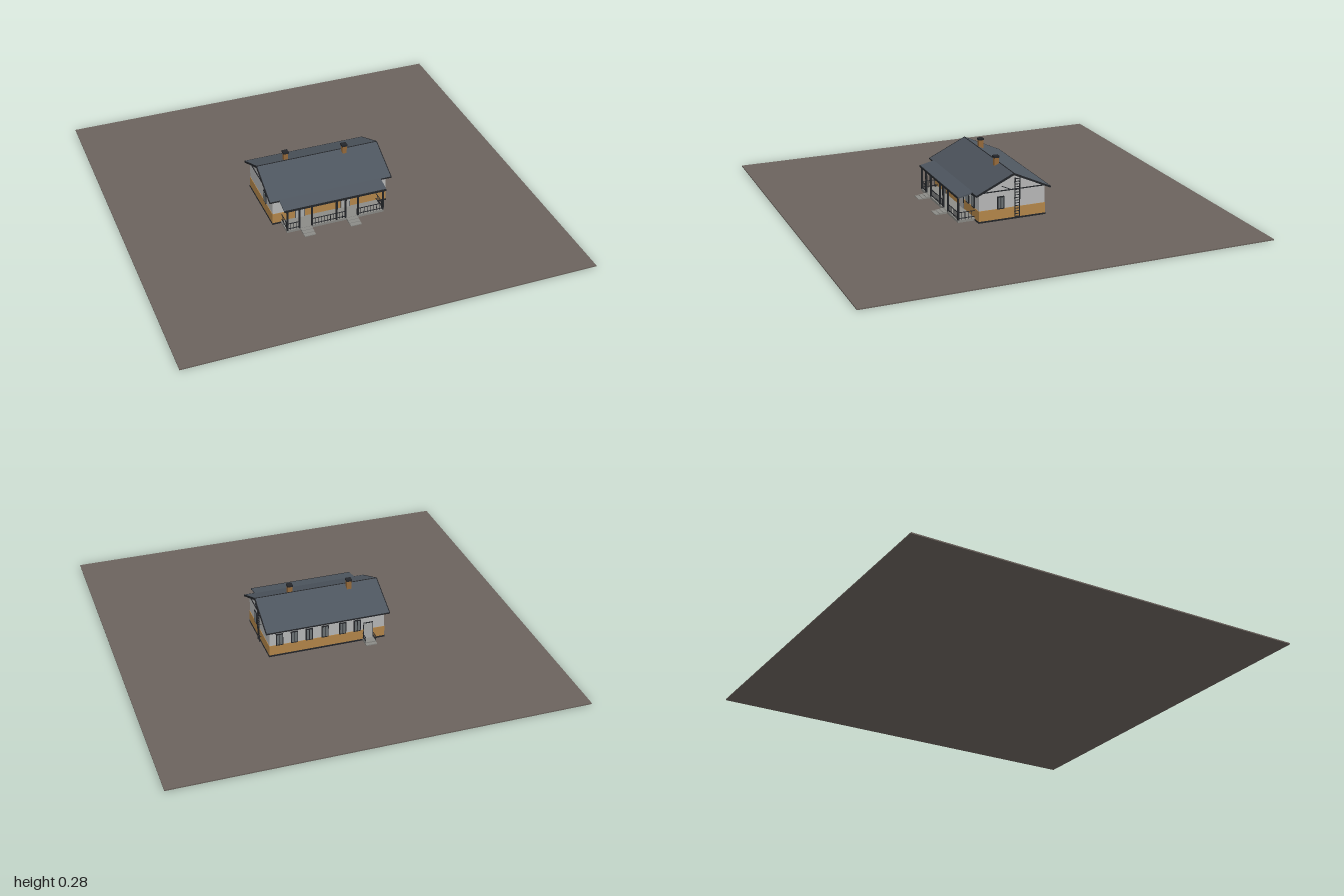
import * as THREE from 'three';

const mat = (name, color, side = THREE.FrontSide) => {
  const m = new THREE.MeshStandardMaterial({ color, side });
  m.name = name;
  return m;
};

export function createModel() {
  const root = new THREE.Group();
  root.name = 'house';
  const gravel = mat('gravel', 0x6b635d);
  const wallGrey = mat('wallGrey', 0xbcbdbd);
  const ochre = mat('ochre', 0xb98a4c);
  const slate = mat('slateRoof', 0x4e565f);
  const trim = mat('darkTrim', 0x24262a);
  const concrete = mat('concrete', 0x8b8b87);
  const glass = mat('glass', 0x6f7577);
  const doorGrey = mat('doorGrey', 0xb0b1b0);
  const brick = mat('chimneyBrick', 0x9a6d3c);

  const add = (name, geo, material, parent = root) => {
    const m = new THREE.Mesh(geo, material);
    m.name = name;
    parent.add(m);
    return m;
  };
  // box given by its lower and upper limits
  const box = (name, material, x0, x1, y0, y1, z0, z1, parent = root) => {
    const m = add(name, new THREE.BoxGeometry(x1 - x0, y1 - y0, z1 - z0), material, parent);
    m.position.set((x0 + x1) / 2, (y0 + y1) / 2, (z0 + z1) / 2);
    return m;
  };
  // (z, y) profile swept along x
  const sweep = (name, material, pts, x0, x1) => {
    const shape = new THREE.Shape(pts.map(([z, y]) => new THREE.Vector2(-z, y)));
    const geo = new THREE.ExtrudeGeometry(shape, { depth: x1 - x0, bevelEnabled: false });
    geo.rotateY(Math.PI / 2);
    geo.translate(x0, 0, 0);
    return add(name, geo, material);
  };
  // straight square bar between two points
  const bar = (name, material, a, b, w, parent = root) => {
    const p = new THREE.Vector3(...a), q = new THREE.Vector3(...b);
    const m = add(name, new THREE.BoxGeometry(w, w, p.distanceTo(q)), material, parent);
    m.position.copy(p).add(q).multiplyScalar(0.5);
    m.lookAt(q);
    return m;
  };

  const G = 0.006;
  box('ground', gravel, -1, 1, 0, G, -1, 1);

  // walls: coloured lower storey band and grey upper part with gables
  const X0 = -0.295, X1 = 0.29, Z = 0.17;
  box('lowerWall', ochre, X0 - 0.002, X1 + 0.002, 0.014, 0.066, -Z - 0.002, Z + 0.002);
  box('plinth', trim, X0 - 0.004, X1 + 0.004, G, 0.014, -Z - 0.004, Z + 0.004);
  sweep('upperWall', wallGrey, [[-Z, 0.066], [Z, 0.066], [Z, 0.15], [0, 0.229], [-Z, 0.15]], X0, X1);

  // main roof with dark verge, eaves and ridge trim
  const R0 = -0.315, R1 = 0.31;
  const roofPts = (t) => [[0, 0.241 + t], [-0.19, 0.152 + t], [-0.19, 0.145 - t], [0, 0.232 - t], [0.19, 0.145 - t], [0.19, 0.152 + t]];
  sweep('mainRoof', slate, roofPts(0), R0, R1);
  for (const x of [R0, R1]) sweep('vergeBoard', trim, roofPts(0.001), x - 0.002, x + 0.002);
  for (const s of [-1, 1]) bar('eavesGutter', trim, [R0, 0.149, s * 0.19], [R1, 0.149, s * 0.19], 0.006);
  bar('ridge', trim, [R0, 0.24, 0], [R1, 0.24, 0], 0.004);
  for (const x of [X0, X1]) box('gableBand', trim, x - 0.003, x + 0.003, 0.152, 0.157, -Z, Z);

  // chimneys
  for (const [x, z] of [[-0.16, -0.024], [0.13, 0.016]]) {
    box('chimney', brick, x - 0.011, x + 0.011, 0.215, 0.268, z - 0.011, z + 0.011);
    box('chimneyCap', trim, x - 0.014, x + 0.014, 0.268, 0.277, z - 0.014, z + 0.014);
  }

  // windows and doors are thin plates, facing local +z
  const opening = (name, x, z, turn) => {
    const g = new THREE.Group();
    g.name = name;
    g.position.set(x, 0, z);
    g.rotation.y = turn;
    root.add(g);
    return g;
  };
  const windowAt = (x, z, turn) => {
    const g = opening('window', x, z, turn), w = 0.018;
    box('windowFrame', trim, -w, w, 0.064, 0.128, 0, 0.004, g);
    for (const s of [-1, 1]) box('windowPane', glass, s * 0.0075 - 0.0055, s * 0.0075 + 0.0055, 0.07, 0.122, 0.003, 0.006, g);
  };
  const doorAt = (x, z, turn) => {
    const g = opening('door', x, z, turn);
    box('doorFrame', trim, -0.025, 0.025, 0.014, 0.105, 0, 0.004, g);
    box('doorLeaf', doorGrey, -0.022, 0.022, 0.016, 0.101, 0.003, 0.006, g);
  };
  for (const x of [-0.22, -0.095, 0.02, 0.15, 0.22]) windowAt(x, Z, 0);
  for (const x of [-0.155, -0.08, 0.01, 0.09, 0.165, 0.24]) windowAt(x, -Z, Math.PI);
  windowAt(X1, 0.06, Math.PI / 2);
  windowAt(X0, 0.06, -Math.PI / 2);
  const doors = [-0.158, 0.078];
  for (const x of doors) doorAt(x, Z, 0);
  doorAt(-0.212, -Z, Math.PI);

  // porch floor, roof, beam and posts
  const P0 = -0.255, P1 = 0.245, PZ = 0.256;
  box('porchFloor', concrete, P0, P1, G, 0.018, Z, PZ + 0.004);
  sweep('porchRoof', slate, [[0.172, 0.157], [0.172, 0.15], [0.263, 0.13], [0.263, 0.137]], -0.267, 0.255);
  box('porchFascia', trim, -0.267, 0.255, 0.129, 0.138, 0.26, 0.264);
  box('porchBeam', trim, P0, P1, 0.125, 0.133, PZ - 0.004, PZ + 0.004);
  const posts = [P0 + 0.004, -0.19, -0.126, 0.0, 0.046, 0.11, P1 - 0.004];
  for (const x of posts) {
    box('porchPost', trim, x - 0.004, x + 0.004, 0.018, 0.126, PZ - 0.004, PZ + 0.004);
  }
  for (const x of [P0 + 0.004, P1 - 0.004]) bar('porchRafter', trim, [x, 0.148, Z], [x, 0.129, PZ], 0.005);

  // railings: two rails with balusters
  const railing = (a, b, y0, y1, n) => {
    const g = new THREE.Group();
    g.name = 'railing';
    root.add(g);
    for (const y of [y0 + 0.008, y1]) bar('rail', trim, [a[0], y, a[1]], [b[0], y, b[1]], 0.003, g);
    for (let i = 0; i <= n; i++) {
      const x = a[0] + (b[0] - a[0]) * i / n, z = a[1] + (b[1] - a[1]) * i / n;
      box('baluster', trim, x - 0.001, x + 0.001, y0, y1, z - 0.001, z + 0.001, g);
    }
  };
  for (const [a, b] of [[0, 1], [2, 3], [3, 4], [5, 6]]) {
    const l = posts[b] - posts[a];
    railing([posts[a], PZ], [posts[b], PZ], 0.018, 0.055, Math.max(3, Math.round(l / 0.016)));
  }
  for (const x of [posts[0], posts[6]]) railing([x, Z], [x, PZ], 0.018, 0.055, 5);

  // entrance steps, front and back
  for (const x of doors) {
    for (let i = 0; i < 3; i++) box('frontStep', concrete, x - 0.028, x + 0.028, G, 0.016 - i * 0.003, PZ, 0.28 + i * 0.02);
  }
  box('backLanding', concrete, -0.24, -0.184, G, 0.017, -0.212, -Z);
  box('backStep', concrete, -0.24, -0.184, G, 0.011, -0.228, -0.212);
  for (const x of [-0.238, -0.186]) railing([x, -0.21], [x, -Z], 0.016, 0.042, 3);

  // roof ladder on the gable wall, with stays
  const LX = X1 + 0.012;
  for (const z of [-0.034, -0.01]) {
    box('ladderRail', trim, LX - 0.002, LX + 0.002, 0.012, 0.215, z - 0.002, z + 0.002);
    for (const y of [0.04, 0.11, 0.19]) box('ladderStay', trim, X1, LX, y - 0.001, y + 0.001, z - 0.001, z + 0.001);
  }
  for (let i = 0; i < 15; i++) {
    const y = 0.02 + i * 0.0135;
    box('ladderRung', trim, LX - 0.0015, LX + 0.0015, y - 0.0015, y + 0.0015, -0.034, -0.01);
  }
  bar('ladderBrace', trim, [X1 + 0.004, 0.178, 0.055], [X1 + 0.004, 0.158, 0.012], 0.003);
  return root;
}
